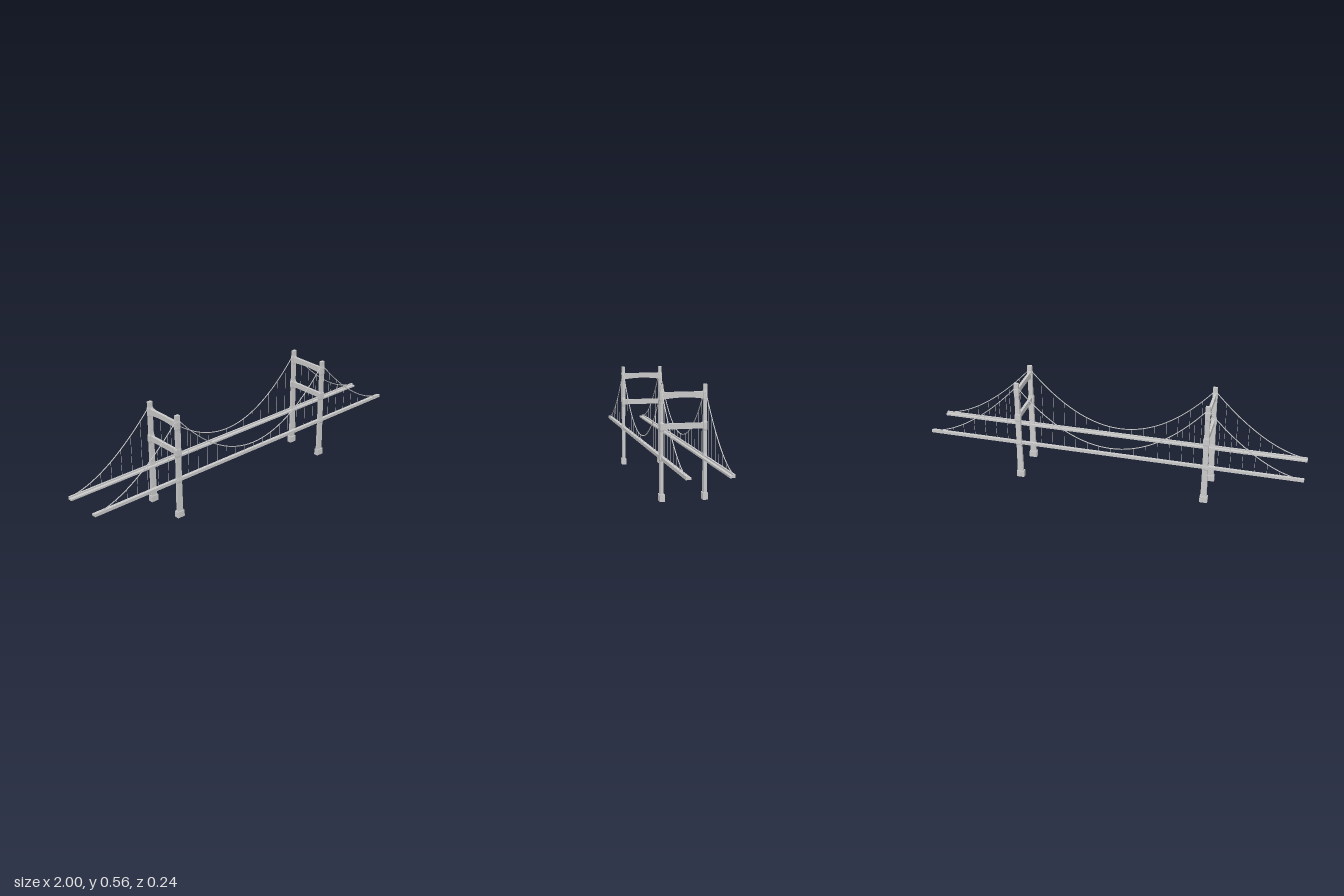
import * as THREE from 'three';

const mat = new THREE.MeshStandardMaterial({ color: 0xcccccc, flatShading: true });
const smooth = new THREE.MeshStandardMaterial({ color: 0xcccccc });
const TOWER_X = 0.5, SIDE_Z = 0.1065;
const CABLE_TOP = 0.54, CABLE_LOW = 0.245, CABLE_END = 0.212, DECK_TOP = 0.21;

function add(parent, name, geometry, x = 0, y = 0, z = 0, material = mat) {
  const mesh = new THREE.Mesh(geometry, material);
  mesh.name = name;
  mesh.position.set(x, y, z);
  parent.add(mesh);
  return mesh;
}

// Height of the main cable along the bridge
function cableHeight(x) {
  const a = Math.abs(x);
  if (a <= TOWER_X) return CABLE_LOW + (CABLE_TOP - CABLE_LOW) * (a / TOWER_X) ** 2;
  const t = Math.max(0, (1 - a) / (1 - TOWER_X));
  return CABLE_END + (CABLE_TOP - CABLE_END) * t ** 1.7;
}

// Rectangular column whose half widths follow [y, halfX, halfZ] rows
function columnGeometry(rows) {
  const n = rows.length - 1;
  const g = new THREE.BoxGeometry(2, 1, 2, 1, n, 1);
  const p = g.attributes.position;
  for (let i = 0; i < p.count; i++) {
    const [y, hx, hz] = rows[Math.round((p.getY(i) + 0.5) * n)];
    p.setXYZ(i, p.getX(i) * hx, y, p.getZ(i) * hz);
  }
  g.computeVertexNormals();
  return g;
}

// Cross beam spanning between the legs, with an optional arched underside
function beamGeometry(bottom, top, rise, thickness) {
  const h = 0.101;
  const s = new THREE.Shape();
  s.moveTo(-h, bottom);
  s.quadraticCurveTo(0, bottom + 2 * rise, h, bottom);
  s.lineTo(h, top);
  s.lineTo(-h, top);
  s.closePath();
  const g = new THREE.ExtrudeGeometry(s, { depth: thickness, bevelEnabled: false, curveSegments: 12 });
  g.translate(0, 0, -thickness / 2);
  g.rotateY(Math.PI / 2);
  return g;
}

class CableCurve extends THREE.Curve {
  constructor(x0, x1) {
    super();
    this.x0 = x0;
    this.x1 = x1;
  }
  getPoint(t, target = new THREE.Vector3()) {
    const x = this.x0 + (this.x1 - this.x0) * t;
    return target.set(x, cableHeight(x), 0);
  }
}

// Leg profile: swellings where the deck and the cross beams meet it
const LEG = [
  [0.03, 0.016, 0.0075], [0.195, 0.014, 0.0075], [0.2, 0.016, 0.0095],
  [0.21, 0.016, 0.0095], [0.228, 0.0135, 0.0075], [0.335, 0.0135, 0.0075],
  [0.345, 0.016, 0.009], [0.375, 0.016, 0.009], [0.385, 0.012, 0.0075],
  [0.48, 0.012, 0.0075], [0.489, 0.013, 0.009], [0.524, 0.013, 0.009],
  [0.533, 0.012, 0.0075], [0.56, 0.012, 0.0075],
];

function createTower() {
  const tower = new THREE.Group();
  tower.name = 'tower';
  for (const side of [-1, 1]) {
    add(tower, 'towerLeg', columnGeometry(LEG), 0, 0, side * SIDE_Z);
    add(tower, 'footing', columnGeometry([[0, 0.021, 0.0125], [0.034, 0.02, 0.0125]]), 0, 0, side * SIDE_Z);
  }
  add(tower, 'upperCrossBeam', beamGeometry(0.489, 0.524, 0.008, 0.014));
  add(tower, 'lowerCrossBeam', beamGeometry(0.346, 0.374, 0, 0.014));
  return tower;
}

function createSide(side) {
  const group = new THREE.Group();
  group.name = side > 0 ? 'frontSide' : 'backSide';

  // Deck edge: flat ledge with a raised curb on its outer part
  add(group, 'deckGirder', new THREE.BoxGeometry(2, 0.01, 0.025), 0, 0.205, side * 0.0985);
  add(group, 'curb', new THREE.BoxGeometry(2, 0.006, 0.009), 0, 0.213, side * SIDE_Z);

  // Main cable in three spans
  for (const [x0, x1] of [[-0.998, -TOWER_X], [-TOWER_X, TOWER_X], [TOWER_X, 0.998]]) {
    const tube = new THREE.TubeGeometry(new CableCurve(x0, x1), 40, 0.0025, 6, false);
    add(group, 'mainCable', tube, 0, 0, side * SIDE_Z, smooth);
  }

  // Hangers from cable to deck, none at the towers
  for (let i = -15; i <= 15; i++) {
    if (Math.abs(i) === 8) continue;
    const x = i / 16, h = cableHeight(x) - DECK_TOP;
    add(group, 'hanger', new THREE.CylinderGeometry(0.001, 0.001, h, 6), x, DECK_TOP + h / 2, side * SIDE_Z, smooth);
  }
  return group;
}

export function createModel() {
  const model = new THREE.Group();
  model.name = 'suspensionBridge';
  for (const side of [-1, 1]) {
    const tower = createTower();
    tower.position.x = side * TOWER_X;
    model.add(tower, createSide(side));
  }
  return model;
}
